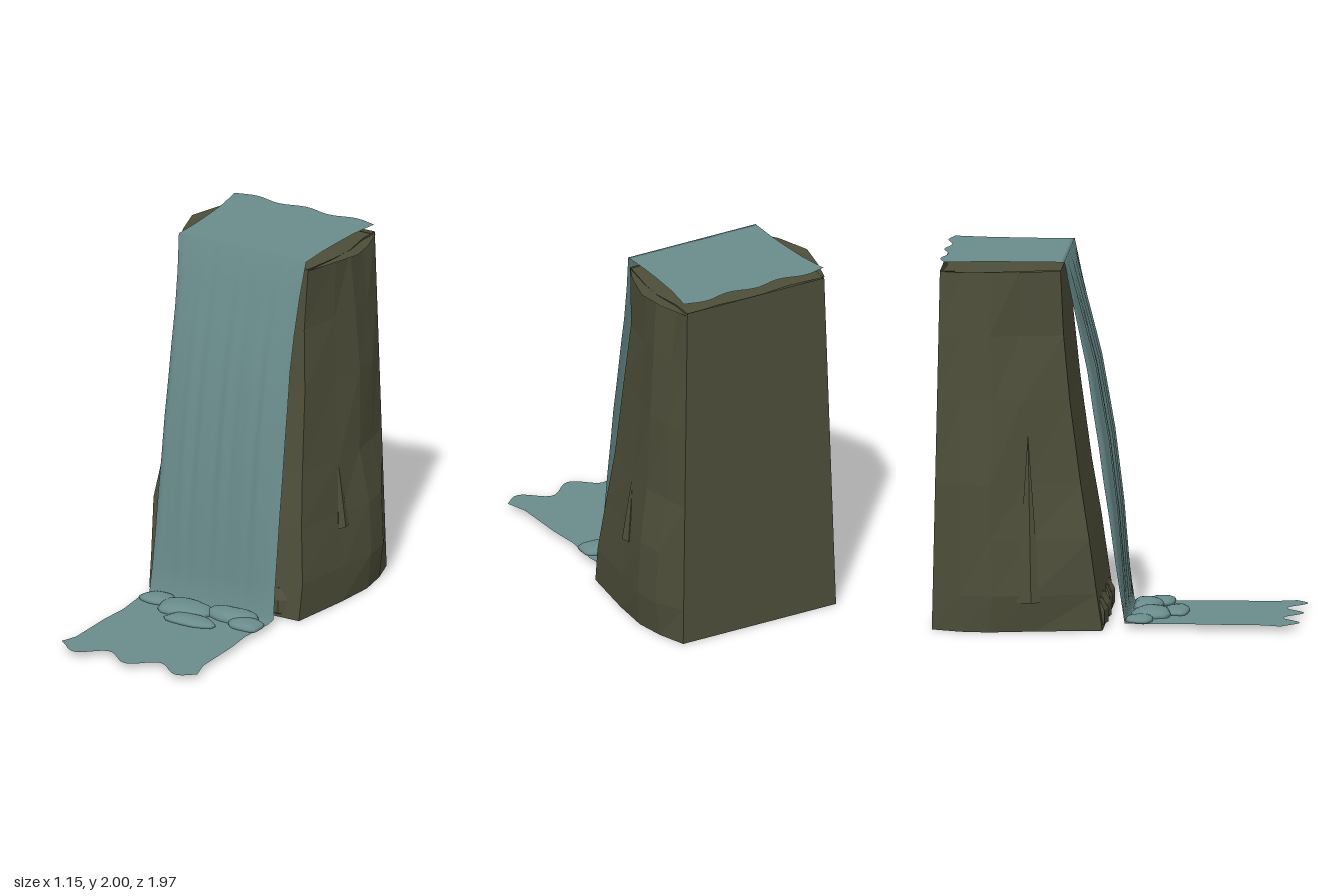
import * as THREE from 'three';

const rock = new THREE.MeshStandardMaterial({ color: 0x4d4e39, flatShading: true, side: THREE.DoubleSide });
rock.name = 'mossy rock';
const water = new THREE.MeshStandardMaterial({ color: 0x6a8c8c, side: THREE.DoubleSide });
water.name = 'water';

function addMesh(group, name, geometry, material) {
  const mesh = new THREE.Mesh(geometry, material);
  mesh.name = name;
  group.add(mesh);
  return mesh;
}

// Skin a list of equally long rows of [x, y, z] points
function skin(rows, closed) {
  const n = rows[0].length, index = [];
  for (let i = 0; i < rows.length - 1; i++) {
    for (let j = 0; j < (closed ? n : n - 1); j++) {
      const k = (j + 1) % n;
      const a = i * n + j, b = i * n + k, c = a + n, d = b + n;
      index.push(a, b, d, a, d, c);
    }
  }
  const geometry = new THREE.BufferGeometry();
  geometry.setAttribute('position', new THREE.Float32BufferAttribute(rows.flat(2), 3));
  geometry.setIndex(index);
  geometry.computeVertexNormals();
  return geometry;
}

// Piecewise linear lookup in [key, value] pairs with rising keys
function lookup(table, key) {
  for (let i = 1; i < table.length; i++) {
    const [k0, v0] = table[i - 1], [k1, v1] = table[i];
    if (key <= k1) return v0 + (v1 - v0) * Math.max(0, (key - k0) / (k1 - k0));
  }
  return table[table.length - 1][1];
}

// Hollow cliff: rings from bottom to top
function cliffGeometry() {
  // y, front z, left corner x, left bulge x, right corner x, right bulge x
  const levels = [
    [0, -0.07, 0.48, 0.555, 0.46, 0.56],
    [0.2, -0.10, 0.485, 0.575, 0.465, 0.58],
    [0.5, -0.14, 0.455, 0.56, 0.475, 0.56],
    [0.8, -0.19, 0.43, 0.51, 0.43, 0.55],
    [1.25, -0.25, 0.41, 0.5, 0.41, 0.505],
    [1.6, -0.285, 0.385, 0.475, 0.385, 0.475],
    [1.95, -0.30, 0.4, 0.45, 0.4, 0.455],
  ];
  const rows = levels.map(([y, front, lc, lb, rc, rb], i) => {
    const t = y / 1.95, back = -0.99 + 0.04 * t;
    const side = (corner, bulge, s) => {
      const dent = 0.012 * Math.sin(i * 2.3 + s);
      return [
        [s * corner, y, front],
        [s * (corner + (bulge - corner) * 0.6 + dent), y, front + (-0.67 - front) * 0.6],
        [s * bulge, y, -0.67 + dent],
        [s * (bulge - 0.02 - dent / 2), y, -0.83],
        [s * (0.48 - 0.05 * t), y, back],
      ];
    };
    return [...side(lc, lb, 1), ...side(rc, rb, -1).reverse()];
  });
  return skin(rows, true);
}

// Thin overhanging ledge on top of the cliff
function ledgeGeometry() {
  const half = [[0.4, -0.3], [0.46, -0.42], [0.52, -0.62], [0.49, -0.78], [0.44, -0.94], [0.22, -0.925]];
  const outline = [...half, [0, -0.945], ...half.slice().reverse().map(([x, z]) => [-x, z])];
  const shape = new THREE.Shape(outline.map(([x, z]) => new THREE.Vector2(x, -z)));
  const geometry = new THREE.ShapeGeometry(shape).rotateX(-Math.PI / 2);
  const p = geometry.attributes.position;
  for (let i = 0; i < p.count; i++) {
    p.setY(i, 1.95 - 0.012 * p.getX(i) + 0.008 * Math.sin(p.getZ(i) * 9));
  }
  return geometry;
}

// One continuous sheet: river on top, falling curtain, pool at the foot
function waterGeometry() {
  const columns = 64, rows = [];
  const topHalf = [[-0.95, 0.44], [-0.75, 0.41], [-0.5, 0.395], [-0.28, 0.4]];
  const fallHalf = [[0.03, 0.39], [0.2, 0.385], [1, 0.38], [1.5, 0.372], [1.75, 0.38], [2, 0.4]];
  const poolHalf = [[0.04, 0.39], [0.12, 0.4], [0.33, 0.383], [0.5, 0.398], [0.8, 0.4], [0.95, 0.44]];
  const fallFront = [[0.03, 0.045], [0.2, 0.03], [0.6, -0.005], [1, -0.055], [1.4, -0.125], [1.7, -0.2], [2, -0.28]];
  const addRow = (half, point) => {
    const row = [];
    for (let j = 0; j <= columns; j++) {
      const u = j / columns * 2 - 1;
      row.push(point(u * half, u));
    }
    rows.push(row);
  };
  for (const z of [-0.94, -0.85, -0.75, -0.6, -0.45, -0.33, -0.3]) {
    const wave = z === -0.94 ? 0.015 : 0;
    addRow(lookup(topHalf, z), x => [x, 2, z - wave * Math.cos(x * 20)]);
  }
  for (const y of [2, 1.8, 1.6, 1.4, 1.2, 1, 0.8, 0.6, 0.4, 0.2, 0.03]) {
    const swell = Math.sin(Math.PI * (y - 0.03) / 1.97);
    addRow(lookup(fallHalf, y), (x, u) => {
      const edge = 0.04 * Math.pow(Math.abs(u), 8);
      const ripple = 0.004 * Math.sin(x * 52 + 0.6) + 0.002 * Math.sin(x * 83);
      return [x, y, lookup(fallFront, y) + swell * (ripple - edge)];
    });
  }
  for (const z of [0.07, 0.12, 0.22, 0.33, 0.5, 0.65, 0.8, 0.935]) {
    const wave = z === 0.935 ? 0.05 : 0;
    addRow(lookup(poolHalf, z), x => [x, 0.03, z + wave * Math.cos((x - 0.02) * 19.6)]);
  }
  // Rows run back to front, so reverse the columns to face outward
  return skin(rows.map(row => row.reverse()), false);
}

// Rounded stone with a slightly irregular outline
function stoneGeometry(rx, ry, rz, seed, wide = 18, high = 10) {
  const geometry = new THREE.SphereGeometry(1, wide, high);
  const p = geometry.attributes.position;
  for (let i = 0; i < p.count; i++) {
    const x = p.getX(i), y = p.getY(i), z = p.getZ(i);
    const a = Math.atan2(z, x);
    const r = 1 + 0.06 * Math.sin(a * 3 + seed) + 0.04 * Math.sin(a * 5 + seed * 2);
    const boxy = v => Math.sign(v) * Math.pow(Math.abs(v), 0.85);
    p.setXYZ(i, boxy(x) * r * rx, Math.max(y, -0.5) * ry, boxy(z) * r * rz);
  }
  geometry.computeVertexNormals();
  return geometry;
}

export function createModel() {
  const model = new THREE.Group();
  model.name = 'waterfall';

  addMesh(model, 'cliff', cliffGeometry(), rock);
  addMesh(model, 'cliffLedge', ledgeGeometry(), rock);
  addMesh(model, 'waterSheet', waterGeometry(), water);

  // Splash mounds at the foot: x, z, radii and height
  [[-0.29, 0.12, 0.1, 0.075, 0.026], [-0.09, 0.17, 0.16, 0.105, 0.04], [0.18, 0.13, 0.155, 0.08, 0.042],
    [0.31, 0.2, 0.1, 0.075, 0.03], [0.02, 0.3, 0.15, 0.07, 0.025]].forEach(([x, z, rx, rz, h], i) => {
    addMesh(model, 'splashMound', stoneGeometry(rx, h, rz, i * 1.7), water).position.set(x, 0.037, z);
  });

  // Foot stones pushed through the front wall of the cliff
  [[0.33, -0.15, 0.1], [0.13, -0.14, 0.09], [-0.1, -0.15, 0.1], [-0.31, -0.15, 0.11]].forEach(([x, z, r], i) => {
    addMesh(model, 'footStone', stoneGeometry(r, 0.12, r, i * 2.1, 7, 5), rock).position.set(x, 0.06, z);
  });

  // Jagged shards on the sides: x, y, z, half height, depth, lean
  [[-0.515, 0.62, -0.47, 0.46, 0.07, -0.05], [0.5, 0.62, -0.47, 0.2, 0.045, 0.08]].forEach(([x, y, z, h, d, lean]) => {
    const geometry = new THREE.ConeGeometry(1, 2, 5).scale(0.03, h, d);
    const shard = addMesh(model, 'cliffShard', geometry, rock);
    shard.position.set(x, y, z);
    shard.rotation.z = lean;
  });

  return model;
}
